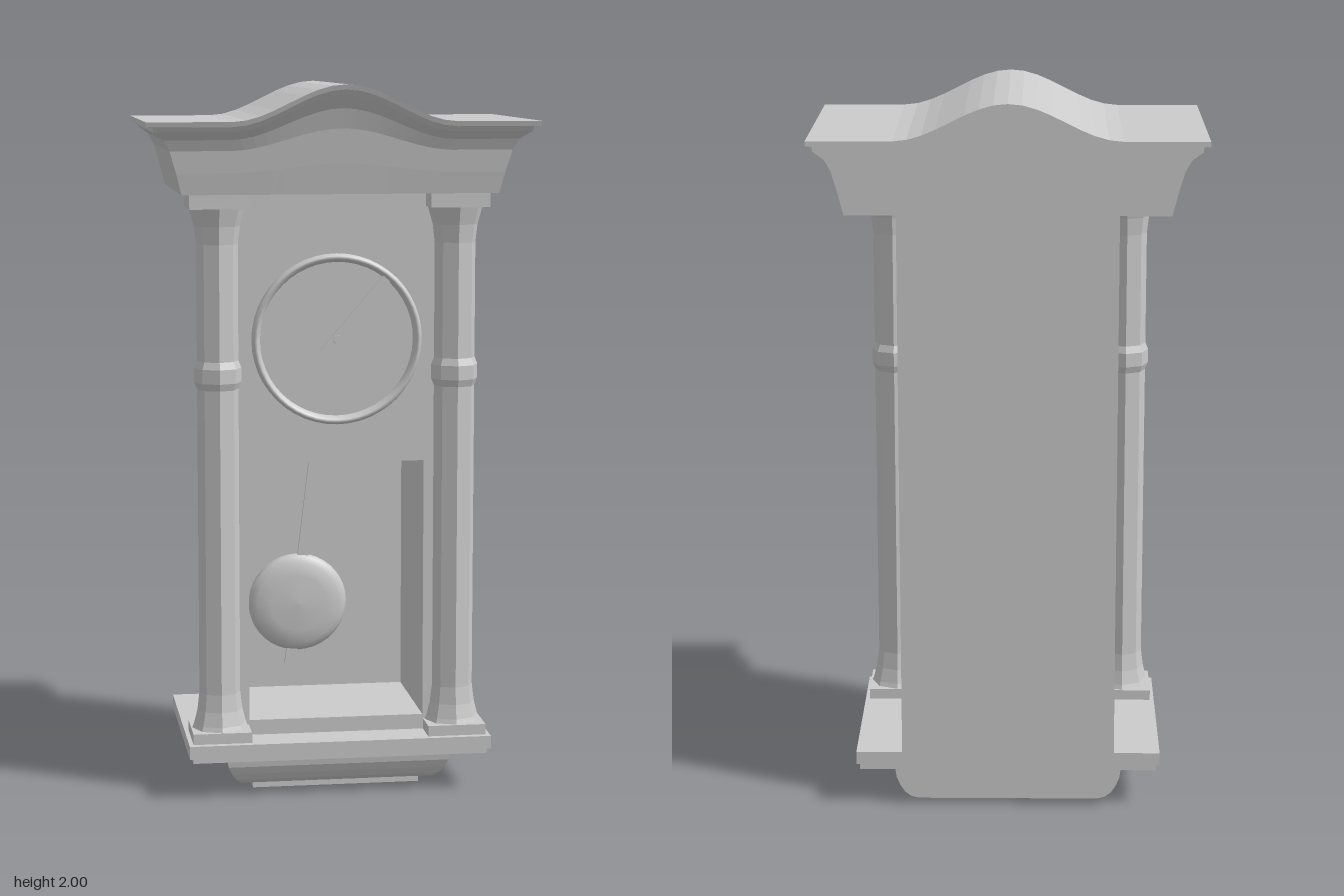
import * as THREE from 'three';

const BACK = -0.34;   // rear plane shared by case, cornice and base
const FRONT = 0.15;   // front plane of the case
const flat = () => new THREE.MeshStandardMaterial({ color: 0xcccccc, flatShading: true });
const smooth = () => new THREE.MeshStandardMaterial({ color: 0xcccccc });

function add(parent, name, geometry, material, x = 0, y = 0, z = 0) {
  const mesh = new THREE.Mesh(geometry, material);
  mesh.name = name;
  mesh.position.set(x, y, z);
  parent.add(mesh);
  return mesh;
}

// Box given by its limits in x (symmetric), y and z
function block(parent, name, halfW, y0, y1, z0, z1) {
  return add(parent, name, new THREE.BoxGeometry(halfW * 2, y1 - y0, z1 - z0), flat(),
    0, (y0 + y1) / 2, (z0 + z1) / 2);
}

// Bell-shaped rise at the middle of the pediment
const crest = (x) => Math.abs(x) < 0.31 ? 0.05 * (1 + Math.cos(Math.PI * x / 0.31)) : 0;

// Stack of rectangular sections [halfWidth, frontZ, y, crestShare], bottom to top
function loft(levels, n) {
  const pos = [], idx = [], ring = 2 * (n + 1);
  for (const [w, zf, y, k] of levels) {
    for (let j = 0; j < ring; j++) {
      const isFront = j <= n;
      const x = w * (2 * (isFront ? j : ring - 1 - j) / n - 1);
      const rise = k * crest(x);
      pos.push(x, y + rise, isFront ? zf + 0.15 * rise : BACK);
    }
  }
  const quad = (a, b, c, d) => idx.push(a, b, c, a, c, d);
  for (let i = 0; i < levels.length - 1; i++) {
    for (let j = 0; j < ring; j++) {
      const a = i * ring, b = a + ring, k = (j + 1) % ring;
      quad(a + j, a + k, b + k, b + j);
    }
  }
  const top = (levels.length - 1) * ring;
  for (let j = 0; j < n; j++) {
    const r = ring - 1 - j;
    quad(top + j, top + j + 1, top + r - 1, top + r);
    quad(r, r - 1, j + 1, j);
  }
  const geo = new THREE.BufferGeometry();
  geo.setAttribute('position', new THREE.Float32BufferAttribute(pos, 3));
  geo.setIndex(idx);
  const out = geo.toNonIndexed();
  out.computeVertexNormals();
  return out;
}

// Lathe whose axis points forwards: points are [radius, z]
function turned(points, segments) {
  const geo = new THREE.LatheGeometry(points.map(([r, h]) => new THREE.Vector2(r, h)), segments);
  return geo.rotateX(Math.PI / 2);
}

export function createModel() {
  const clock = new THREE.Group();
  clock.name = 'wallClock';

  // Case with a window opening, closed by a solid back
  const wall = new THREE.Shape([[-0.3, 0.15], [0.3, 0.15], [0.3, 1.7], [-0.3, 1.7]]
    .map(([x, y]) => new THREE.Vector2(x, y)));
  wall.holes.push(new THREE.Path([[-0.25, 0.2], [-0.25, 0.94], [0.25, 0.94], [0.25, 0.2]]
    .map(([x, y]) => new THREE.Vector2(x, y))));
  const inner = -0.23;
  add(clock, 'case', new THREE.ExtrudeGeometry(wall, { depth: FRONT - inner, bevelEnabled: false }),
    flat(), 0, 0, inner);
  block(clock, 'caseBack', 0.3, 0.15, 1.7, BACK, inner);

  // Flared cornice and curved roof
  add(clock, 'cornice', loft([
    [0.44, 0.25, 1.70, 0], [0.455, 0.26, 1.76, 0.25], [0.473, 0.268, 1.82, 0.6],
    [0.49, 0.28, 1.85, 0.85], [0.52, 0.31, 1.872, 1], [0.522, 0.32, 1.885, 1],
    [0.54, 0.328, 1.886, 1], [0.54, 0.332, 1.9, 1],
  ], 28), flat());

  // Base plate and rounded bracket underneath
  block(clock, 'basePlate', 0.43, 0.12, 0.157, BACK, 0.257);
  block(clock, 'basePlateLower', 0.42, 0.105, 0.12, BACK, 0.247);
  add(clock, 'bracket', loft([
    [0.255, 0.155, 0.018, 0], [0.275, 0.172, 0.023, 0], [0.293, 0.19, 0.037, 0],
    [0.306, 0.203, 0.057, 0], [0.316, 0.213, 0.08, 0], [0.32, 0.217, 0.106, 0],
  ], 1), flat());
  block(clock, 'bottomSlab', 0.24, 0, 0.02, -0.3, 0.145);

  // Eight-sided columns with square blocks at both ends
  const profile = [[0.08, 0.185], [0.074, 0.2], [0.064, 0.24], [0.058, 0.29], [0.058, 1.155],
    [0.066, 1.175], [0.066, 1.215], [0.058, 1.235], [0.058, 1.56], [0.064, 1.61], [0.078, 1.66]];
  for (const side of [-1, 1]) {
    const column = new THREE.Group();
    column.name = side > 0 ? 'leftColumn' : 'rightColumn';
    column.position.set(side * 0.335, 0, 0.155);
    clock.add(column);
    add(column, 'shaft', new THREE.LatheGeometry(profile.map(([r, y]) => new THREE.Vector2(r, y)), 8), flat());
    block(column, 'capital', 0.083, 1.66, 1.7, -0.083, 0.083);
    block(column, 'foot', 0.083, 0.155, 0.187, -0.083, 0.083);
  }

  // Dial ring, hand and hub
  const dial = new THREE.Group();
  dial.name = 'dial';
  dial.position.set(0, 1.29, FRONT);
  clock.add(dial);
  add(dial, 'ring', turned([[0.24, 0], [0.24, 0.015], [0.234, 0.025], [0.226, 0.025],
    [0.217, 0.012], [0.217, 0]], 48), new THREE.MeshStandardMaterial({ color: 0xcccccc, side: THREE.DoubleSide }));
  const hand = add(dial, 'hand', new THREE.BoxGeometry(0.025, 0.275, 0.006), flat(), 0.05, 0.065, 0.015);
  hand.rotation.z = -0.71;
  add(dial, 'hub', new THREE.CylinderGeometry(0.012, 0.012, 0.024, 12).rotateX(Math.PI / 2), smooth(), 0, 0, 0.012);

  // Pendulum swung to one side, hung from behind the dial
  const pendulum = new THREE.Group();
  pendulum.name = 'pendulum';
  pendulum.position.set(0, 1.29, 0.01);
  pendulum.rotation.z = -0.12;
  clock.add(pendulum);
  add(pendulum, 'rod', new THREE.BoxGeometry(0.032, 0.62, 0.01), flat(), 0, -0.66, 0);
  add(pendulum, 'bob', turned([[0, -0.035], [0.08, -0.031], [0.118, -0.024], [0.135, -0.012], [0.142, 0],
    [0.135, 0.012], [0.118, 0.024], [0.08, 0.031], [0, 0.035]], 40), smooth(), 0, -0.785, 0);

  return clock;
}
